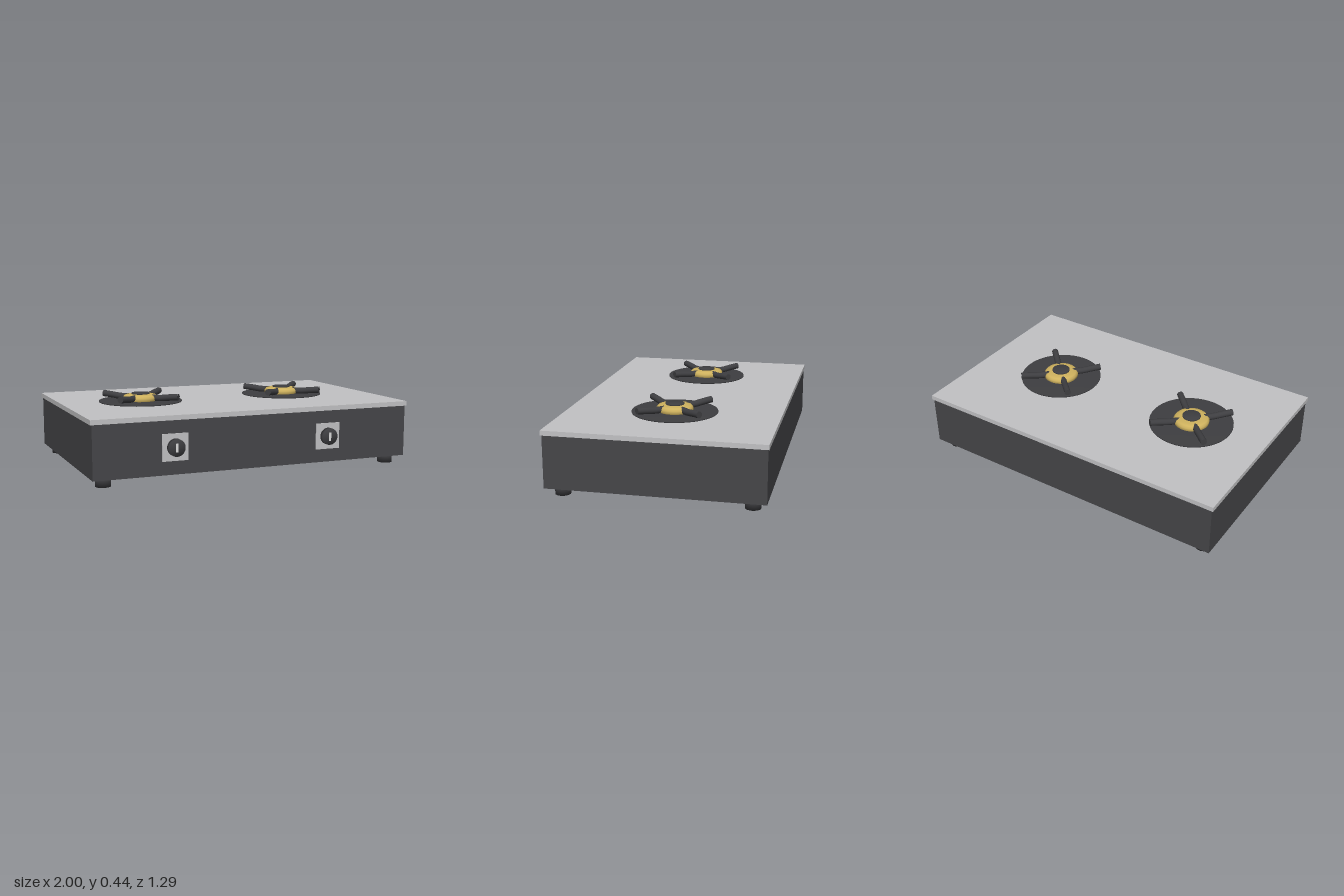
import * as THREE from 'three';

const flat = (name, color) => {
  const m = new THREE.MeshStandardMaterial({ color });
  m.name = name;
  return m;
};

export function createModel() {
  const steel = flat('brushed steel', 0xc2c2c4);
  const enamel = flat('dark enamel', 0x464649);
  const iron = flat('cast iron', 0x3e3e41);
  const brass = flat('brass', 0xcfb25e);
  const white = flat('indicator white', 0xdcdcdc);

  const model = new THREE.Group();
  model.name = 'twoBurnerStove';

  const add = (parent, name, geometry, material, x = 0, y = 0, z = 0) => {
    const mesh = new THREE.Mesh(geometry, material);
    mesh.name = name;
    mesh.position.set(x, y, z);
    parent.add(mesh);
    return mesh;
  };
  const box = (w, h, d) => new THREE.BoxGeometry(w, h, d);
  // Closed turned part with soft shading, from [radius, height] pairs, bottom to top
  const turned = (points, sides = 32) =>
    new THREE.LatheGeometry(points.map(([r, y]) => new THREE.Vector2(r, y)), sides);
  const disc = (r, h, sides) => turned([[0, 0], [r, 0], [r, h], [0, h]], sides);

  // Housing and overhanging top plate
  add(model, 'body', box(1.98, 0.31, 1.25), enamel, 0, 0.205, -0.015);
  add(model, 'topPlate', box(2, 0.028, 1.262), steel, 0, 0.374, -0.015);

  // Feet
  for (const x of [-0.91, 0.91])
    for (const z of [0.525, -0.555])
      add(model, 'foot', disc(0.045, 0.052, 24), iron, x, 0, z);

  // Pan support arm: a rod that bends upward towards its tip
  const armPath = new THREE.CatmullRomCurve3([
    new THREE.Vector3(0.07, 0.413, 0),
    new THREE.Vector3(0.14, 0.413, 0),
    new THREE.Vector3(0.2, 0.42, 0),
    new THREE.Vector3(0.258, 0.425, 0),
  ]);
  const armRadius = 0.02;
  const armGeometry = new THREE.TubeGeometry(armPath, 8, armRadius, 12);
  const tipGeometry = new THREE.CircleGeometry(armRadius, 12).rotateY(Math.PI / 2);

  for (const x of [-0.515, 0.45]) {
    // Burner: drip pan, brass ring, cap and four arms
    const burner = new THREE.Group();
    burner.name = 'burner';
    burner.position.set(x, 0, -0.017);
    model.add(burner);
    add(burner, 'dripPan', disc(0.255, 0.008, 48), iron, 0, 0.386, 0);
    add(burner, 'burnerRing', turned([
      [0.1, 0.39], [0.108, 0.398], [0.108, 0.415], [0.098, 0.427], [0.075, 0.433], [0, 0.434],
    ], 40), brass);
    add(burner, 'burnerCap', disc(0.055, 0.015), iron, 0, 0.426, 0);
    for (let i = 0; i < 4; i++) {
      const arm = new THREE.Group();
      arm.name = 'supportArm';
      arm.rotation.y = Math.PI / 4 + (i * Math.PI) / 2;
      add(arm, 'armRod', armGeometry, iron);
      add(arm, 'armTip', tipGeometry, iron, 0.258, 0.425, 0);
      burner.add(arm);
    }

    // Control: backing plate, knob and pointer mark
    const control = new THREE.Group();
    control.name = 'control';
    control.position.set(x, 0.207, 0.61);
    model.add(control);
    add(control, 'knobPlate', box(0.156, 0.156, 0.008), steel, 0, 0, 0.002);
    add(control, 'knob', disc(0.05, 0.032), iron, 0, 0, 0.003).rotation.x = Math.PI / 2;
    add(control, 'knobPointer', box(0.014, 0.05, 0.004), white, 0, 0, 0.0345);
  }

  return model;
}
